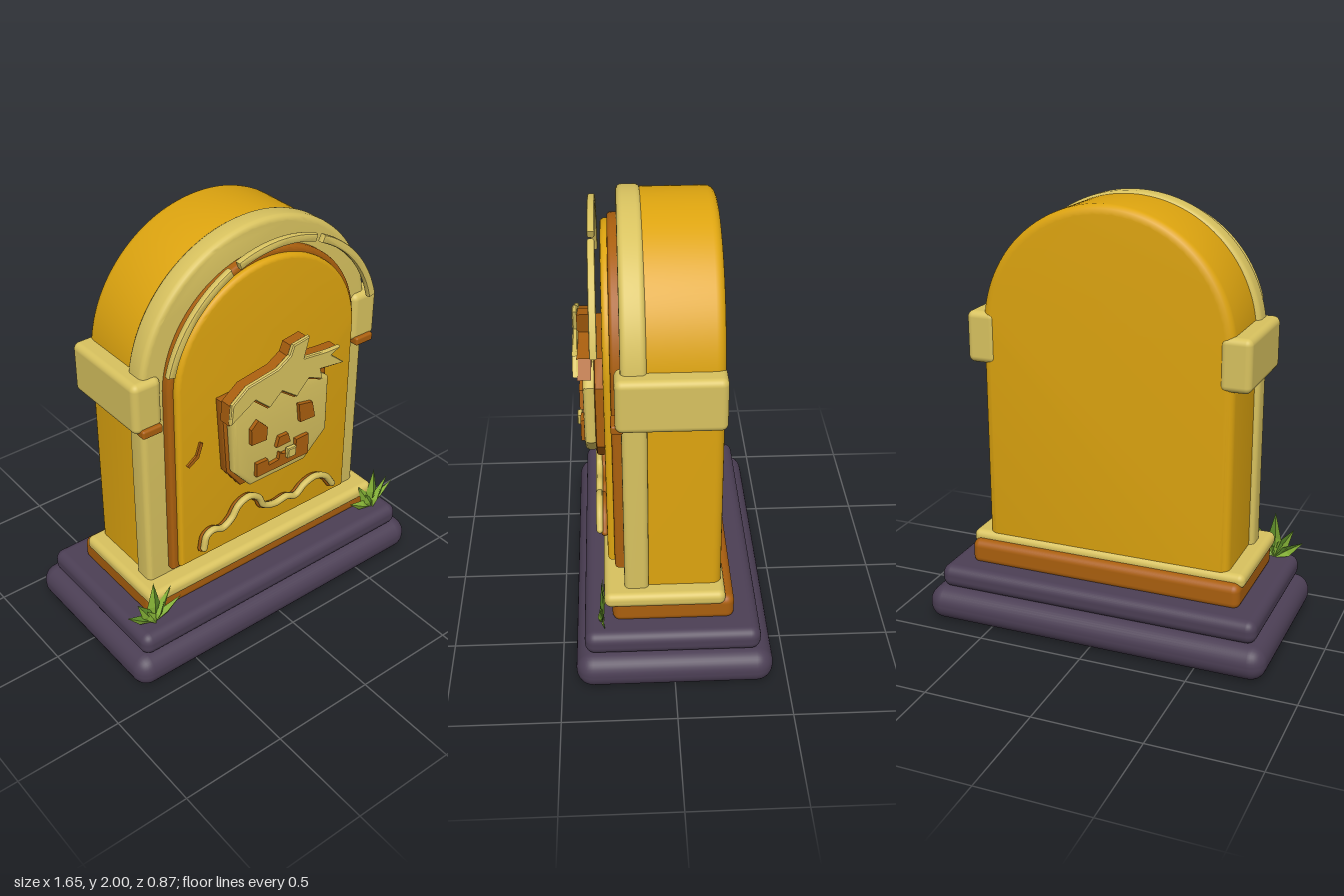
import * as THREE from 'three';
import { toCreasedNormals } from 'three/addons/utils/BufferGeometryUtils.js';
import { RoundedBoxGeometry } from 'three/addons/geometries/RoundedBoxGeometry.js';

const paint = (name, color, side = THREE.FrontSide) => {
  const m = new THREE.MeshStandardMaterial({ color, side });
  m.name = name;
  return m;
};

export function createModel() {
  const root = new THREE.Group();
  root.name = 'tombstone';
  const gold = paint('gold', 0xdda40f);
  const cream = paint('cream', 0xd8c25f);
  const brown = paint('brown', 0xaa5f0e);
  const purple = paint('purple', 0x4c3f55);
  const green = paint('leaf green', 0x86b436, THREE.DoubleSide);
  const darkGreen = paint('dark leaf green', 0x5f8f2a, THREE.DoubleSide);

  const add = (name, geo, mat, parent = root) => {
    const mesh = new THREE.Mesh(geo, mat);
    mesh.name = name;
    parent.add(mesh);
    return mesh;
  };

  // rounded block given by its minimum and maximum corners
  const block = (name, mat, [x0, y0, z0], [x1, y1, z1], r) => {
    const geo = new RoundedBoxGeometry(x1 - x0, y1 - y0, z1 - z0, 4, r);
    geo.translate((x0 + x1) / 2, (y0 + y1) / 2, (z0 + z1) / 2);
    return add(name, geo, mat);
  };

  // bevelled plate between two depths; the shape is its outer outline
  const plate = (name, mat, shape, z0, z1, bevel = 0, segments = 1) => {
    let geo = new THREE.ExtrudeGeometry(shape, {
      depth: z1 - z0 - 2 * bevel, curveSegments: 40, bevelEnabled: bevel > 0,
      bevelSize: bevel, bevelThickness: bevel, bevelOffset: -bevel, bevelSegments: segments,
    });
    geo.translate(0, 0, z0 + bevel);
    geo = toCreasedNormals(geo, 0.6);
    return add(name, geo, mat);
  };

  const poly = (points, dx = 0, dy = 0) =>
    new THREE.Shape(points.map(([x, y]) => new THREE.Vector2(x + dx, y + dy)));

  const arch = (halfWidth, bottom, top) => {
    const s = new THREE.Shape();
    s.moveTo(-halfWidth, bottom);
    s.lineTo(halfWidth, bottom);
    s.absarc(0, top - halfWidth, halfWidth, 0, Math.PI, false);
    s.closePath();
    return s;
  };

  // stepped base
  block('baseSlab', purple, [-0.825, 0, -0.435], [0.825, 0.16, 0.435], 0.075);
  block('baseStep', purple, [-0.77, 0.155, -0.38], [0.77, 0.265, 0.395], 0.045);
  block('plinth', brown, [-0.66, 0.25, -0.267], [0.66, 0.37, 0.27], 0.035);
  block('ledge', cream, [-0.67, 0.335, -0.227], [0.67, 0.405, 0.305], 0.03);

  // arched stone, frame and inset panel
  plate('stoneBody', gold, arch(0.592, 0.345, 1.99), -0.212, 0.15, 0.04, 5);
  plate('frontFrame', cream, arch(0.615, 0.35, 2), 0.108, 0.215, 0.025, 4);
  plate('panelBorder', brown, arch(0.51, 0.44, 1.88), 0.19, 0.255, 0.015, 3);
  plate('panel', gold, arch(0.485, 0.465, 1.855), 0.24, 0.285, 0.018, 3);

  // raised trim strips following the arch
  for (const [from, to] of [[14, 65], [69, 111], [115, 166]]) {
    const a = THREE.MathUtils.degToRad(from), b = THREE.MathUtils.degToRad(to);
    const s = new THREE.Shape();
    s.absarc(0, 1.385, 0.575, a, b, false);
    s.absarc(0, 1.385, 0.54, b, a, true);
    s.closePath();
    plate('archTrim', cream, s, 0.303, 0.335, 0.008, 2);
  }

  // shoulder blocks with small feet
  for (const side of [-1, 1]) {
    const span = (a, b) => (side > 0 ? [a, b] : [-b, -a]);
    const [a, b] = span(0.525, 0.667);
    block('shoulderBlock', cream, [a, 1.235, -0.218], [b, 1.475, 0.24], 0.03);
    const [c, d] = span(0.54, 0.64);
    block('shoulderFoot', brown, [c, 1.22, 0.205], [d, 1.26, 0.258], 0.01);
  }

  // carved pumpkin head
  plate('headBacking', brown, poly([
    [-0.29, 1.3], [-0.265, 0.92], [-0.185, 0.81], [0.16, 0.81],
    [0.295, 0.94], [0.295, 1.235], [0.18, 1.32],
  ]), 0.275, 0.325, 0.012, 2);
  plate('head', cream, poly([
    [-0.272, 1.29], [-0.25, 0.93], [-0.165, 0.828], [0.142, 0.828],
    [0.272, 0.948], [0.272, 1.225], [0.17, 1.3],
  ]), 0.315, 0.375, 0.022, 3);

  // leafy cap with stem
  const cap = [
    [-0.308, 1.235], [-0.3, 1.33], [-0.22, 1.39], [-0.06, 1.415], [0.005, 1.455],
    [0.022, 1.5], [0.11, 1.512], [0.085, 1.415], [0.21, 1.4], [0.29, 1.395],
    [0.24, 1.37], [0.315, 1.305], [0.18, 1.322], [0.195, 1.265], [0.115, 1.3],
    [0.05, 1.232], [-0.035, 1.295], [-0.1, 1.237], [-0.18, 1.308],
  ];
  plate('capBacking', brown, poly(cap, 0.003, -0.013), 0.335, 0.395);
  plate('cap', cream, poly(cap), 0.39, 0.414, 0.005);

  // face features
  const features = {
    rightEye: [[-0.182, 1.145], [-0.145, 1.18], [-0.093, 1.125], [-0.097, 1.06], [-0.18, 1.065]],
    leftEye: [[0.082, 1.167], [0.16, 1.15], [0.178, 1.065], [0.093, 1.07]],
    nose: [[-0.025, 1.04], [0.025, 1.04], [0.04, 0.99], [-0.04, 0.99]],
    mouth: [
      [-0.15, 0.88], [0.145, 0.88], [0.145, 0.985], [0.073, 0.985], [0.073, 0.94],
      [0.0, 0.94], [-0.02, 0.955], [-0.025, 0.92], [-0.08, 0.915], [-0.087, 0.95], [-0.15, 0.95],
    ],
  };
  for (const [name, pts] of Object.entries(features)) {
    plate(name, brown, poly(pts), 0.365, 0.393);
  }
  plate('tooth', cream, poly([[0.013, 0.918], [0.06, 0.915], [0.063, 0.963], [0.015, 0.966]]),
    0.385, 0.41, 0.004);

  // wavy vine below the head, with a brown shadow line behind it
  const vine = [
    [-0.387, 0.55], [-0.37, 0.615], [-0.335, 0.632], [-0.28, 0.615], [-0.23, 0.645],
    [-0.19, 0.7], [-0.13, 0.72], [-0.075, 0.685], [-0.045, 0.63], [0.02, 0.605],
    [0.09, 0.612], [0.145, 0.592], [0.2, 0.63], [0.265, 0.645], [0.33, 0.615], [0.377, 0.55],
  ];
  const tube = (name, mat, pts, z, r, dy = 0) => {
    const path = new THREE.CatmullRomCurve3(pts.map(([x, y]) => new THREE.Vector3(x, y + dy, z)));
    add(name, new THREE.TubeGeometry(path, 90, r, 8), mat);
    for (const t of [0, 1]) {
      const tip = add(name + 'End', new THREE.SphereGeometry(r, 8, 6), mat);
      tip.position.copy(path.getPoint(t));
    }
  };
  tube('vine', cream, vine, 0.319, 0.016);
  tube('vineBacking', brown, vine, 0.297, 0.016, -0.014);

  // small crack in the panel
  plate('crack', brown, poly([
    [-0.45, 1.02], [-0.4, 1.055], [-0.38, 1.115], [-0.365, 1.105], [-0.388, 1.04], [-0.44, 1.007],
  ]), 0.28, 0.295);

  // grass tufts: folded blades fanned out, one half darker
  const blade = (tx, ty, w, z) => {
    const len = Math.hypot(tx, ty);
    const nx = -ty / len * w, ny = tx / len * w;
    const half = (s) => {
      const geo = new THREE.BufferGeometry();
      geo.setAttribute('position', new THREE.Float32BufferAttribute([
        0, 0, z, tx * 0.42 + nx * s, ty * 0.42 + ny * s, z - 0.006, tx * 0.42, ty * 0.42, z + 0.01,
        tx * 0.42, ty * 0.42, z + 0.01, tx * 0.42 + nx * s, ty * 0.42 + ny * s, z - 0.006, tx, ty, z,
      ], 3));
      // keep the front side facing +z on both halves
      if (s < 0) {
        geo.setIndex([0, 1, 2, 3, 4, 5]);
      } else {
        geo.setIndex([0, 2, 1, 3, 5, 4]);
      }
      const flat = geo.toNonIndexed();
      flat.computeVertexNormals();
      return flat;
    };
    return [half(1), half(-1)];
  };
  const tips = [
    [-0.14, 0.1, 0.026], [0.148, 0.082, 0.026], [-0.09, 0.155, 0.028],
    [0.095, 0.165, 0.028], [0, 0.232, 0.034], [-0.045, 0.1, 0.024], [0.05, 0.1, 0.024],
  ];
  for (const side of [-1, 1]) {
    const tuft = new THREE.Group();
    tuft.name = side > 0 ? 'leftGrassTuft' : 'rightGrassTuft';
    tuft.position.set(side * 0.662, 0.26, 0.31);
    tips.forEach(([tx, ty, w], i) => {
      const [a, b] = blade(-side * tx, ty, w, (i % 3) * 0.004 + (i > 4 ? 0.008 : 0));
      add('grassBladeLight', a, green, tuft);
      add('grassBladeDark', b, i % 2 ? green : darkGreen, tuft);
    });
    root.add(tuft);
  }
  return root;
}
